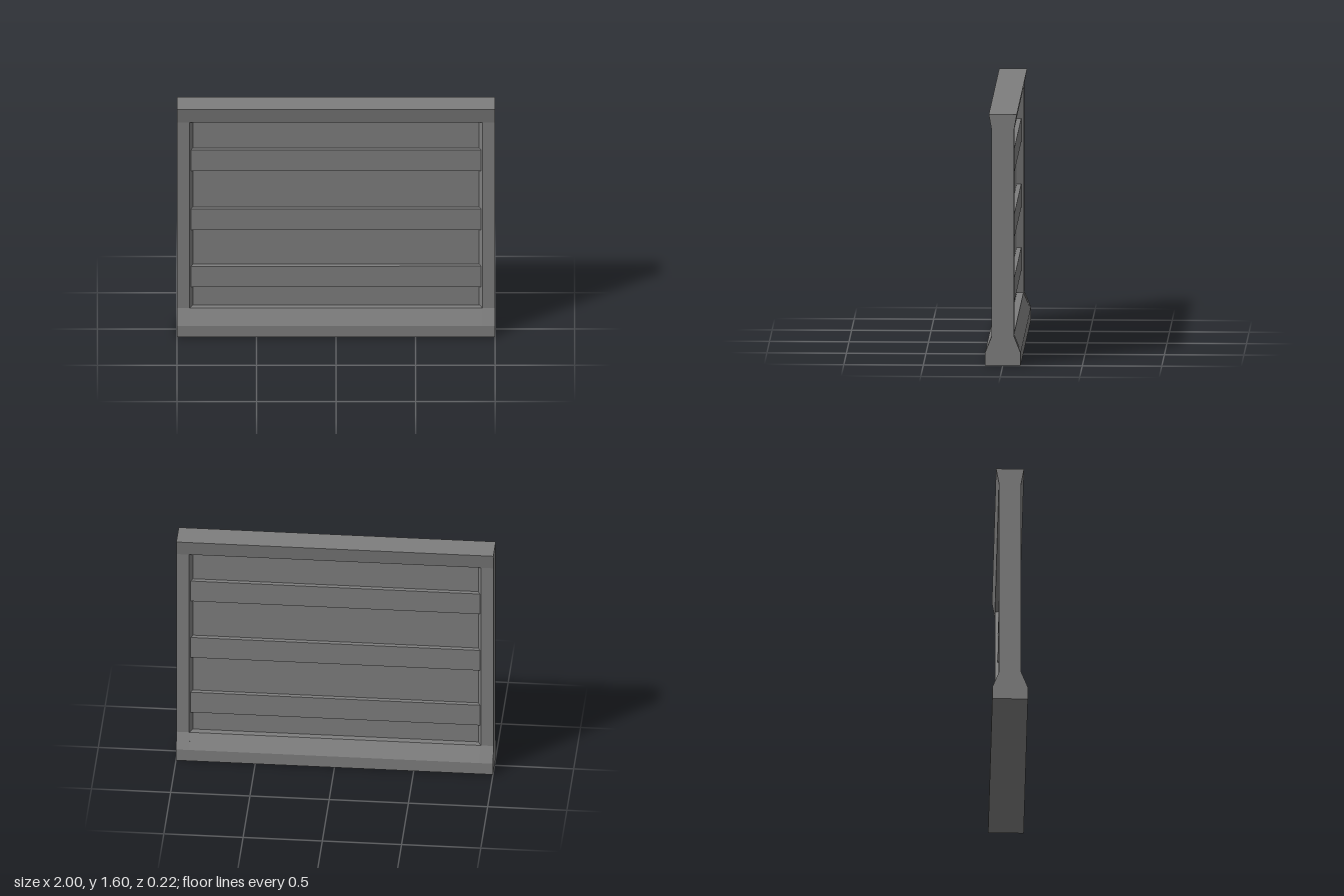
import * as THREE from 'three';

const material = new THREE.MeshStandardMaterial({ color: 0x7e7e7e, flatShading: true });

// Front half of a profile as [half depth, height], mirrored to the back.
function profileBar(halfProfile, x0, x1) {
  const front = halfProfile.map(([d, y]) => new THREE.Vector2(d, y));
  const back = halfProfile.map(([d, y]) => new THREE.Vector2(-d, y)).reverse();
  const geo = new THREE.ExtrudeGeometry(new THREE.Shape([...front, ...back]), {
    depth: x1 - x0, bevelEnabled: false,
  });
  return geo.rotateY(Math.PI / 2).translate(x0, 0, 0);
}

export function createModel() {
  const group = new THREE.Group();
  const add = (name, geo) => {
    const mesh = new THREE.Mesh(geo, material);
    mesh.name = name;
    group.add(mesh);
  };

  const baseDepth = 0.112, postDepth = 0.07, panelDepth = 0.025;
  const footTop = 0.185, baseTop = 0.08, capBottom = 1.495, top = 1.595;

  // Plinth and flared cap run the full width
  add('plinth', profileBar([[baseDepth, 0], [baseDepth, baseTop]], -1, 1));
  add('cap', profileBar([[postDepth, capBottom], [0.088, top]], -1, 1));

  // Sloping sill between the posts, its upper edge slightly set back
  add('sill', profileBar([[baseDepth, baseTop], [0.067, footTop - 0.002]], -0.915, 0.915));

  // Recessed panel
  const panelHeight = capBottom - baseTop;
  add('panel', new THREE.BoxGeometry(1.82, panelHeight, panelDepth * 2)
    .translate(0, baseTop + panelHeight / 2, 0));

  // Horizontal slats, standing out on both faces
  for (const y of [0.397, 0.801, 1.217]) {
    add('slat', new THREE.BoxGeometry(1.828, 0.148, 0.108).translate(0, y, 0));
  }

  // End posts with splayed inner sides and flared feet
  for (const side of [1, -1]) {
    const plan = [
      [1, postDepth], [0.92, postDepth], [0.9, panelDepth],
      [0.9, -panelDepth], [0.92, -postDepth], [1, -postDepth],
    ].map(([x, z]) => new THREE.Vector2(side * x, z));
    const post = new THREE.ExtrudeGeometry(new THREE.Shape(plan), {
      depth: capBottom - footTop, bevelEnabled: false,
    });
    add(side > 0 ? 'leftPost' : 'rightPost', post.rotateX(-Math.PI / 2).translate(0, footTop, 0));

    const ends = [side * 0.915, side].sort((a, b) => a - b);
    add(side > 0 ? 'leftFoot' : 'rightFoot',
      profileBar([[baseDepth, baseTop], [postDepth, footTop]], ends[0], ends[1]));
  }

  return group;
}
